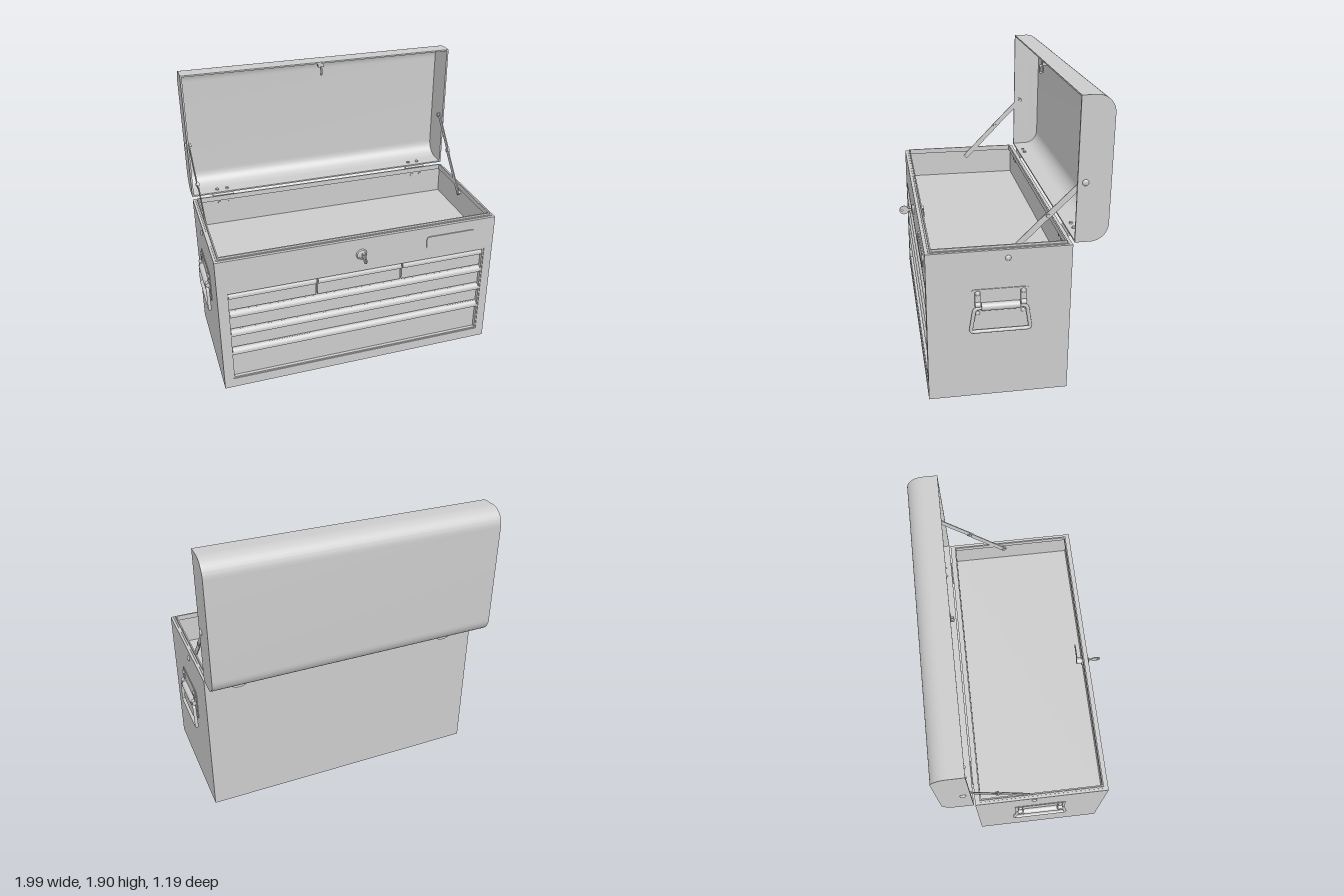
import * as THREE from 'three';
import { toCreasedNormals } from 'three/addons/utils/BufferGeometryUtils.js';

const mat = new THREE.MeshStandardMaterial({ color: 0xcccccc, side: THREE.DoubleSide });

function add(parent, name, geo, x = 0, y = 0, z = 0) {
  const m = new THREE.Mesh(geo, mat);
  m.name = name;
  m.position.set(x, y, z);
  parent.add(m);
  return m;
}
// box given by its min and max corners
function span(parent, name, x0, x1, y0, y1, z0, z1) {
  return add(parent, name, new THREE.BoxGeometry(x1 - x0, y1 - y0, z1 - z0),
    (x0 + x1) / 2, (y0 + y1) / 2, (z0 + z1) / 2);
}
function cyl(parent, name, axis, r, len, x, y, z, sides = 20) {
  const g = new THREE.CylinderGeometry(r, r, len, sides);
  if (axis === 'x') g.rotateZ(Math.PI / 2);
  if (axis === 'z') g.rotateX(Math.PI / 2);
  return add(parent, name, g, x, y, z);
}
function extrude(shape, depth, segs = 12) {
  return toCreasedNormals(new THREE.ExtrudeGeometry(shape,
    { depth, bevelEnabled: false, curveSegments: segs }), 0.6);
}
// shape drawn in (z, y), extruded along x and centred on it
function extrudeX(shape, width) {
  return extrude(shape, width).translate(0, 0, -width / 2).rotateY(-Math.PI / 2);
}
function rect(C, x0, x1, y0, y1, r = 0) {
  const s = new C();
  s.moveTo(x0 + r, y0).lineTo(x1 - r, y0);
  if (r) s.absarc(x1 - r, y0 + r, r, -Math.PI / 2, 0);
  s.lineTo(x1, y1 - r);
  if (r) s.absarc(x1 - r, y1 - r, r, 0, Math.PI / 2);
  s.lineTo(x0 + r, y1);
  if (r) s.absarc(x0 + r, y1 - r, r, Math.PI / 2, Math.PI);
  s.lineTo(x0, y0 + r);
  if (r) s.absarc(x0 + r, y0 + r, r, Math.PI, Math.PI * 1.5);
  return s;
}
// half-dome rivet head pointing along +x or -x
function rivet(parent, s, x, y, z, r) {
  const g = new THREE.SphereGeometry(r, 14, 6, 0, Math.PI * 2, 0, Math.PI / 2);
  g.scale(1, 0.6, 1).rotateZ(-s * Math.PI / 2);
  return add(parent, 'rivet', g, x, y, z);
}

function body() {
  const g = new THREE.Group();
  g.name = 'body';
  for (const s of [-1, 1]) span(g, 'sideWall', s * 0.95 - 0.01, s * 0.95 + 0.01, 0, 1, -0.38, 0.5);
  span(g, 'backWall', -0.94, 0.94, 0, 1, -0.38, -0.36);
  span(g, 'base', -0.94, 0.94, 0, 0.02, -0.36, 0.48);
  span(g, 'trayFloor', -0.94, 0.94, 0.77, 0.79, -0.36, 0.48);
  // front panel with the drawer opening
  const front = rect(THREE.Shape, -0.94, 0.94, 0, 1);
  front.holes.push(rect(THREE.Path, -0.9, 0.9, 0.07, 0.76));
  add(g, 'frontPanel', extrude(front, 0.02), 0, 0, 0.48);
  span(g, 'drawerBay', -0.92, 0.92, 0.05, 0.77, 0.43, 0.45);
  const frame = rect(THREE.Shape, -0.9, 0.9, 0.07, 0.76);
  frame.holes.push(rect(THREE.Path, -0.89, 0.89, 0.08, 0.752));
  add(g, 'openingFrame', extrude(frame, 0.045), 0, 0, 0.45);
  // raised lip round the tray, narrower at its top
  [[0.944, 0.99, 0.014], [0.934, 1.01, 0.008]].forEach(([x, y, h]) => {
    const lip = rect(THREE.Shape, -x, x, -0.42 + 0.944 - x, 0.42 - 0.944 + x);
    lip.holes.push(rect(THREE.Path, -0.925, 0.925, -0.401, 0.401));
    add(g, 'trayLip', extrude(lip, h + 0.008).rotateX(-Math.PI / 2), 0, y - 0.008, 0.06);
  });
  return g;
}

function drawers() {
  const g = new THREE.Group();
  g.name = 'drawers';
  const rows = [[0.614, 0.752, [-0.888, -0.3, 0.295, 0.888]], [0.464, 0.606, [-0.888, 0.888]],
    [0.314, 0.456, [-0.888, 0.888]], [0.08, 0.306, [-0.888, 0.888]]];
  // rolled pull along the top edge of every drawer
  const pull = new THREE.Shape();
  pull.moveTo(0, 0).quadraticCurveTo(0.024, -0.004, 0.026, -0.028);
  pull.lineTo(0.024, -0.04).lineTo(0.016, -0.04).lineTo(0.016, -0.026).lineTo(0, -0.02);
  for (const [y0, y1, xs] of rows) {
    for (let i = 0; i + 1 < xs.length; i++) {
      const a = xs[i] + (i ? 0.005 : 0), b = xs[i + 1] - (i + 2 < xs.length ? 0.005 : 0);
      span(g, 'drawerFront', a, b, y0, y1, 0.45, 0.472);
      add(g, 'drawerPull', extrudeX(pull, b - a), (a + b) / 2, y1, 0.471);
    }
  }
  return g;
}

function lid() {
  const g = new THREE.Group();
  g.name = 'lid';
  // closed outline for the ends, thin U-shaped shell between them
  const outline = (C, o, zf) => {
    const b = -0.59 + o, y0 = 1.015 + o, y1 = 1.905 - o, r = 0.11 - o, p = new C();
    p.moveTo(zf, y0).lineTo(b + r, y0);
    p.absarc(b + r, y0 + r, r, -Math.PI / 2, -Math.PI, true);
    p.lineTo(b, y1 - r);
    p.absarc(b + r, y1 - r, r, Math.PI, Math.PI / 2, true);
    p.lineTo(zf, y1);
    return p;
  };
  const shell = outline(THREE.Shape, 0, -0.388);
  const inner = outline(THREE.Shape, 0.01, -0.388).getPoints(12).reverse();
  inner.forEach((p) => shell.lineTo(p.x, p.y));
  add(g, 'lidShell', extrudeX(shell, 1.9));
  for (const s of [-1, 1]) add(g, 'lidEnd', extrudeX(outline(THREE.Shape, 0, -0.388), 0.012), s * 0.954);
  // catch loop for the lock
  const loop = rect(THREE.Shape, -0.4, -0.368, 1.815, 1.875, 0.008);
  loop.holes.push(rect(THREE.Path, -0.392, -0.376, 1.825, 1.86, 0.004));
  add(g, 'lidCatch', extrudeX(loop, 0.008));
  span(g, 'catchMount', -0.02, 0.02, 1.87, 1.897, -0.42, -0.385);
  return g;
}

function lock() {
  const g = new THREE.Group();
  g.name = 'lock';
  const pts = [[0, 0.012], [0.024, 0.012], [0.026, 0.016], [0.034, 0.012], [0.038, 0]];
  add(g, 'lockRing', toCreasedNormals(new THREE.LatheGeometry(
    pts.map((p) => new THREE.Vector2(...p)).reverse(), 32).rotateX(Math.PI / 2), 0.5), 0, 0.885, 0.5);
  cyl(g, 'lockBarrel', 'z', 0.022, 0.06, 0, 0.885, 0.46);
  cyl(g, 'lockNut', 'z', 0.034, 0.016, 0, 0.885, 0.472, 6);
  span(g, 'lockCam', -0.015, 0.12, 0.873, 0.897, 0.434, 0.44);
  // key: flat blade and rounded bow with a hole
  span(g, 'keyBlade', -0.003, 0.003, 0.875, 0.895, 0.5, 0.55);
  const bow = new THREE.Shape().absarc(0.568, 0.885, 0.031, 0, Math.PI * 2);
  bow.holes.push(new THREE.Path().absarc(0.583, 0.885, 0.007, 0, Math.PI * 2));
  add(g, 'keyBow', extrudeX(bow, 0.007));
  return g;
}

// carry handle built for the +x side, centred on z = 0
function carryHandle() {
  const g = new THREE.Group();
  g.name = 'carryHandle';
  add(g, 'handlePlate', extrudeX(rect(THREE.Shape, -0.175, 0.175, 0.535, 0.75, 0.015), 0.006), 0.962);
  for (const s of [-1, 1]) {
    const z = s * 0.139;
    span(g, 'handleStrap', 0.962, 0.972, 0.655, 0.735, z - 0.017, z + 0.017);
    rivet(g, 1, 0.97, 0.728, z, 0.016);
    rivet(g, 1, 0.964, 0.592, z, 0.014);
    cyl(g, 'handleKnuckle', 'z', 0.016, 0.034, 0.976, 0.655, z);
  }
  cyl(g, 'pivotSleeve', 'z', 0.025, 0.235, 0.972, 0.638, 0, 24);
  // bail bent from round rod
  const corners = [[0.118, 0.638], [0.16, 0.63], [0.184, 0.475], [-0.184, 0.475], [-0.16, 0.63], [-0.118, 0.638]]
    .map(([z, y]) => new THREE.Vector3(0.982, y, z));
  const path = new THREE.CurvePath();
  let prev = corners[0];
  for (let i = 1; i < corners.length - 1; i++) {
    const c = corners[i], a = c.clone(), b = c.clone();
    a.add(corners[i - 1].clone().sub(c).setLength(0.02));
    b.add(corners[i + 1].clone().sub(c).setLength(0.02));
    path.add(new THREE.LineCurve3(prev, a));
    path.add(new THREE.QuadraticBezierCurve3(a, c, b));
    prev = b;
  }
  path.add(new THREE.LineCurve3(prev, corners[corners.length - 1]));
  add(g, 'handleBail', new THREE.TubeGeometry(path, 120, 0.0115, 12));
  return g;
}

// two-piece flat stay between box and lid
function lidStay(s) {
  const g = new THREE.Group();
  g.name = 'lidStay';
  const bar = (y0, z0, y1, z1, x, tilt) => {
    const a = new THREE.Vector3(s * x, y0, z0), b = new THREE.Vector3(s * (x + tilt), y1, z1);
    const m = add(g, 'stayBar', new THREE.BoxGeometry(0.006, 0.036, a.distanceTo(b) + 0.02));
    m.position.copy(a).lerp(b, 0.5);
    m.lookAt(b);
  };
  bar(0.945, 0.01, 1.19, -0.23, 0.922, 0.008);
  bar(1.18, -0.22, 1.39, -0.43, 0.934, 0.008);
  cyl(g, 'stayPivot', 'x', 0.012, 0.024, s * 0.932, 1.187, -0.227);
  cyl(g, 'stayPin', 'x', 0.012, 0.04, s * 0.935, 0.945, 0.01);
  rivet(g, s, s * 0.96, 0.945, 0.01, 0.018);
  cyl(g, 'stayPin', 'x', 0.012, 0.03, s * 0.942, 1.39, -0.435);
  rivet(g, s, s * 0.96, 1.39, -0.435, 0.02);
  return g;
}

function hinge(x) {
  const g = new THREE.Group();
  g.name = 'hinge';
  g.position.x = x;
  // rounded leaf on the back wall, knuckle, and leaf under the lid
  const leaf = new THREE.Shape();
  leaf.moveTo(-0.075, 1.0).lineTo(-0.075, 0.97).quadraticCurveTo(-0.06, 0.91, 0, 0.908);
  leaf.quadraticCurveTo(0.06, 0.91, 0.075, 0.97).lineTo(0.075, 1.0);
  add(g, 'hingeLeaf', extrude(leaf, 0.008), 0, 0, -0.388);
  cyl(g, 'hingeKnuckle', 'x', 0.012, 0.15, 0, 1.003, -0.394);
  span(g, 'hingeTopLeaf', -0.075, 0.075, 1.005, 1.015, -0.455, -0.39);
  for (const dx of [-0.035, 0.035]) {
    cyl(g, 'hingeRivet', 'z', 0.011, 0.036, dx, 0.955, -0.372);
    cyl(g, 'hingeRivet', 'y', 0.011, 0.034, dx, 1.018, -0.43);
  }
  return g;
}

export function createModel() {
  const model = new THREE.Group();
  model.name = 'toolChest';
  model.add(body(), drawers(), lid(), lock());
  add(model, 'blankPlate', extrude(rect(THREE.Shape, 0.46, 0.81, 0.835, 0.93, 0.02), 0.007), 0, 0, 0.5);
  for (const s of [-1, 1]) {
    const handle = carryHandle();
    handle.position.z = 0.055;
    if (s < 0) handle.rotation.y = Math.PI;
    model.add(handle, lidStay(s), hinge(s * 0.74));
  }
  return model;
}
